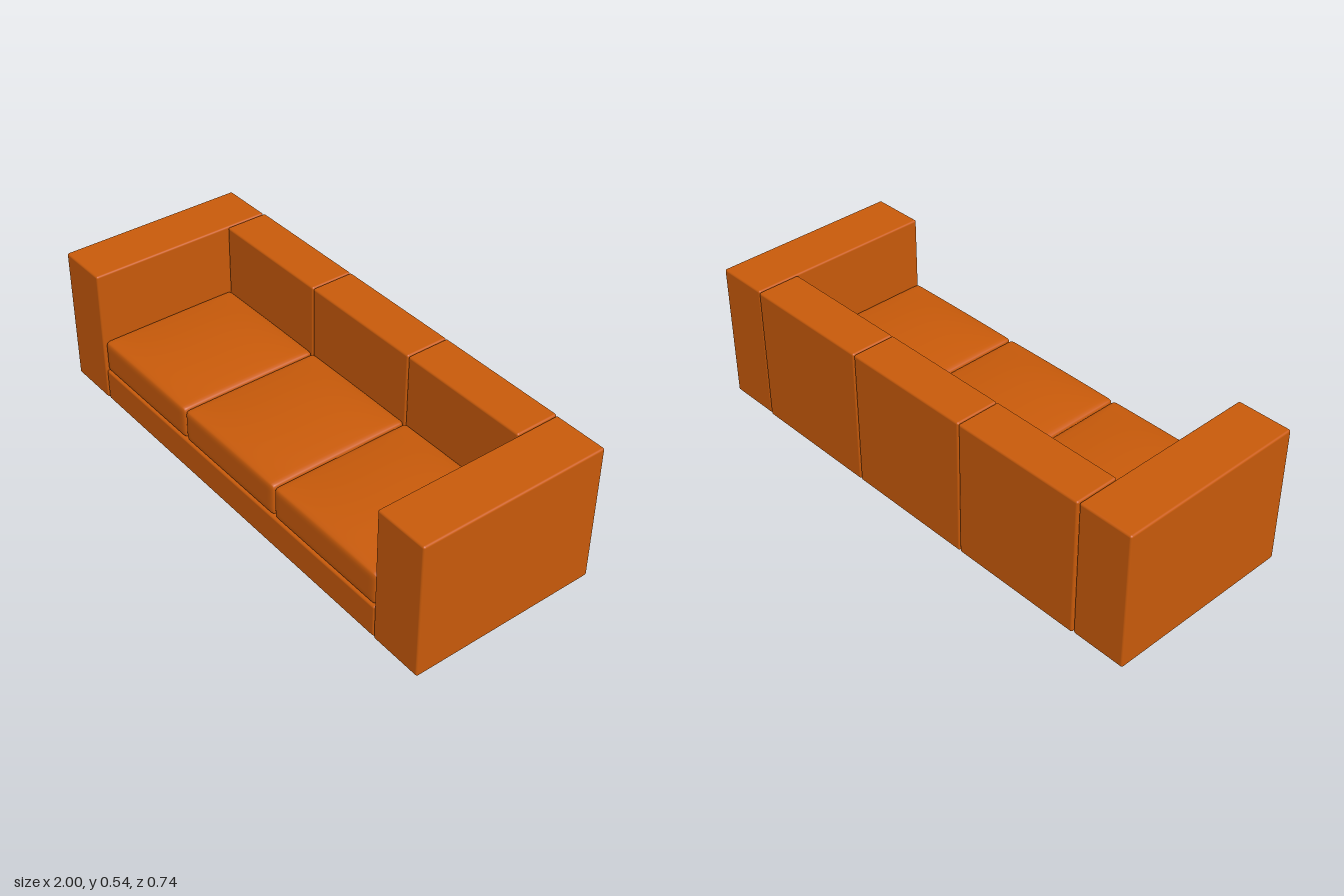
import * as THREE from 'three';
import { RoundedBoxGeometry } from 'three/addons/geometries/RoundedBoxGeometry.js';
import { mergeVertices } from 'three/addons/utils/BufferGeometryUtils.js';

const fabric = new THREE.MeshStandardMaterial({ color: 0xc85a0a });

// Adds a mesh for a box given by its [min, max] on each axis
function place(group, name, x, y, z, makeGeometry) {
  const mesh = new THREE.Mesh(makeGeometry(x[1] - x[0], y[1] - y[0], z[1] - z[0]), fabric);
  mesh.name = name;
  mesh.position.set((x[0] + x[1]) / 2, (y[0] + y[1]) / 2, (z[0] + z[1]) / 2);
  group.add(mesh);
}

// Firm upholstered block with a small edge radius
const block = (w, h, d) => new RoundedBoxGeometry(w, h, d, 3, 0.008);

// Soft cushion: rounded box whose top swells into a crown
function cushion(w, h, d) {
  const radius = 0.018, crown = 0.02;
  let geometry = new THREE.BoxGeometry(2, 2, 2, 24, 12, 24);
  geometry.deleteAttribute('normal');
  geometry.deleteAttribute('uv');
  geometry = mergeVertices(geometry);
  const half = new THREE.Vector3(w / 2, h / 2, d / 2);
  const inner = half.clone().subScalar(radius);
  const p = new THREE.Vector3(), core = new THREE.Vector3();
  const pos = geometry.attributes.position;
  for (let i = 0; i < pos.count; i++) {
    p.fromBufferAttribute(pos, i);
    // Crowd the grid towards the edges, where the curvature is
    p.set(...p.toArray().map((t) => Math.sin(t * Math.PI / 2))).multiply(half);
    core.copy(p).clamp(inner.clone().negate(), inner);
    p.sub(core).setLength(radius).add(core);
    const u = p.x / half.x, v = p.z / half.z;
    const lift = (1 - u * u) * (1 - v ** 4);
    p.y += crown * lift * Math.max(0, p.y / half.y);
    pos.setXYZ(i, p.x, p.y, p.z);
  }
  geometry.computeVertexNormals();
  return geometry;
}

export function createModel() {
  const sofa = new THREE.Group();
  sofa.name = 'sofa';

  // Arms
  place(sofa, 'leftArm', [0.79, 1], [0, 0.54], [-0.368, 0.372], block);
  place(sofa, 'rightArm', [-1, -0.79], [0, 0.54], [-0.368, 0.372], block);

  // Base under the seat
  place(sofa, 'base', [-0.788, 0.788], [0, 0.13], [-0.2, 0.37], block);

  // Three back sections, each with a seat cushion in front
  const seams = [-0.788, -0.262, 0.258, 0.788];
  ['right', 'middle', 'left'].forEach((side, i) => {
    const x = [seams[i] + 0.001, seams[i + 1] - 0.001];
    place(sofa, side + 'Back', x, [0, 0.54], [-0.372, -0.2], block);
    place(sofa, side + 'SeatCushion', x, [0.13, 0.262], [-0.2, 0.367], cushion);
  });
  return sofa;
}
